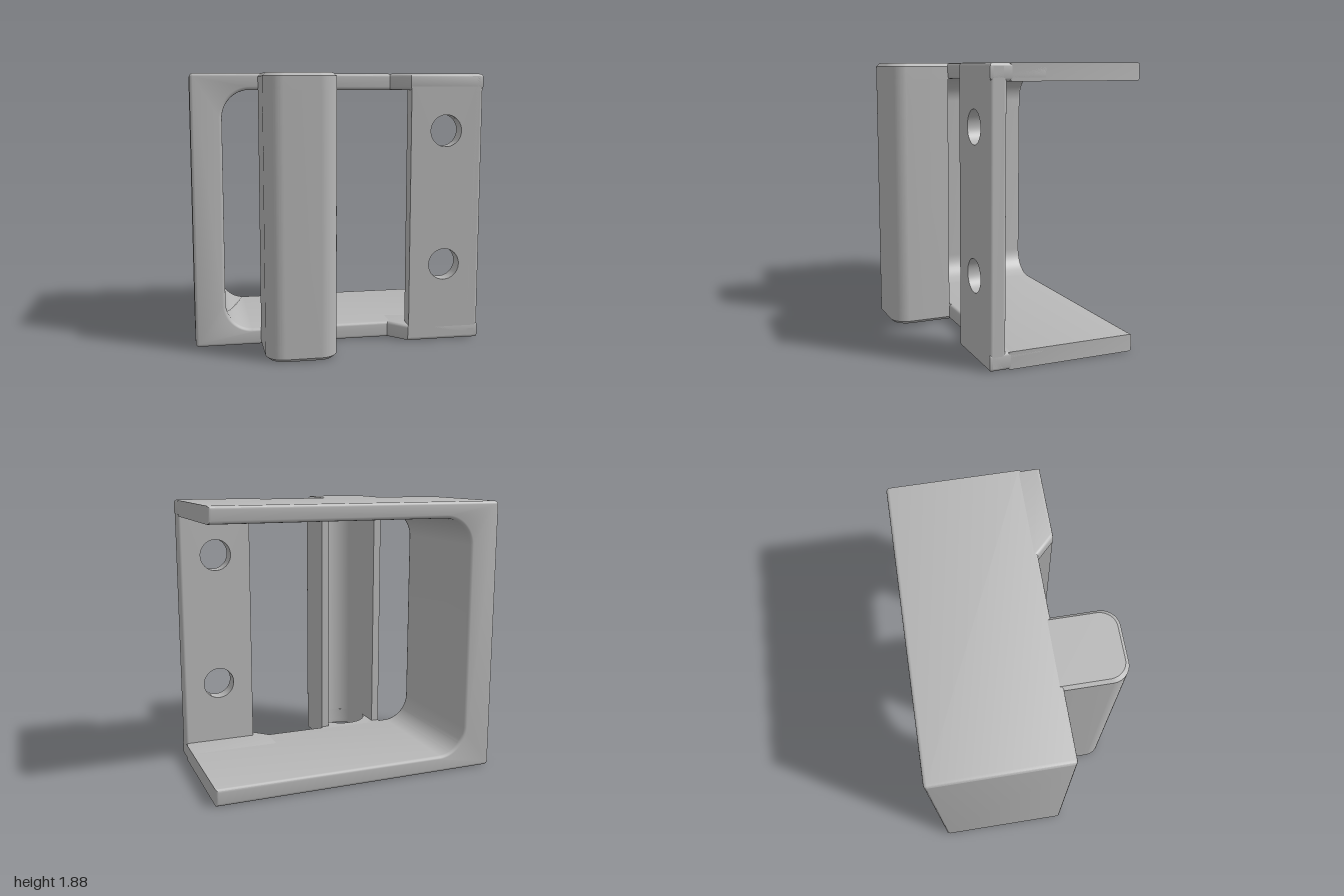
import * as THREE from 'three';
import { toCreasedNormals } from 'three/addons/utils/BufferGeometryUtils.js';
import { RoundedBoxGeometry } from 'three/addons/geometries/RoundedBoxGeometry.js';

const B = 0.022; // edge rounding
const H = 1.88; // overall height
const POST = { x: -0.307, z: 0.445, w: 0.24, front: 0.66, r: 0.185 };

export function createModel() {
  const group = new THREE.Group();
  const grey = new THREE.MeshStandardMaterial({ color: 0xb6b6b6 });
  grey.name = 'plain grey';

  const add = (name, geometry) => {
    const mesh = new THREE.Mesh(geometry, grey);
    mesh.name = name;
    group.add(mesh);
    return mesh;
  };
  const crease = (g) => toCreasedNormals(g, 0.6);
  const bevel = { bevelEnabled: true, bevelSize: B, bevelThickness: B, bevelOffset: -B, bevelSegments: 3 };

  // Extrudes a plan (x, -z) upwards from y0 to y1
  const rise = (shape, y0, y1, rounded = false) => {
    const inset = rounded ? B : 0;
    const g = new THREE.ExtrudeGeometry(shape, {
      depth: y1 - y0 - 2 * inset, curveSegments: 20, ...(rounded ? bevel : { bevelEnabled: false }),
    });
    g.translate(0, 0, y0 + inset);
    g.rotateX(-Math.PI / 2);
    return g;
  };

  // C-shaped frame: side wall, top plate and bottom plate
  const c = new THREE.Shape();
  const R = 0.19, t0 = 0.115, t1 = 1.77, wall = -0.79, e = 0.025;
  c.moveTo(-1 + e, 0);
  c.lineTo(1, 0);
  c.lineTo(1, t0);
  c.lineTo(wall + R, t0);
  c.absarc(wall + R, t0 + R, R, -Math.PI / 2, -Math.PI, true);
  c.lineTo(wall, t1 - R);
  c.absarc(wall + R, t1 - R, R, Math.PI, Math.PI / 2, true);
  c.lineTo(1, t1);
  c.lineTo(1, H);
  c.lineTo(-1 + e, H);
  c.absarc(-1 + e, H - e, e, Math.PI / 2, Math.PI, false);
  c.lineTo(-1, e);
  c.absarc(-1 + e, e, e, Math.PI, Math.PI * 1.5, false);
  const frame = new THREE.ExtrudeGeometry(c, { depth: 0.9 - 2 * B, curveSegments: 16, ...bevel });
  frame.translate(0, 0, -0.66 + B);
  add('frame', crease(frame));

  // Forward pads with an angled shoulder on both plates
  const pad = new THREE.Shape([[0.36, 0], [1, 0], [1, -0.36], [0.485, -0.36], [0.36, -0.235]]
    .map(([x, y]) => new THREE.Vector2(x, y)).reverse());
  add('bottomPad', crease(rise(pad, 0, t0, true)));
  add('topPad', crease(rise(pad, t1, H, true)));

  // Mounting strip with two screw holes
  const strip = new THREE.Shape();
  strip.moveTo(0.49, B);
  strip.lineTo(0.97, B);
  strip.lineTo(0.97, H - B);
  strip.lineTo(0.49, H - B);
  strip.closePath();
  for (const y of [0.55, 1.49]) {
    strip.holes.push(new THREE.Path().absarc(0.74, y, 0.11, 0, Math.PI * 2, true));
  }
  const stripGeo = new THREE.ExtrudeGeometry(strip, { depth: 0.11, bevelEnabled: false, curveSegments: 24 });
  stripGeo.translate(0, 0, 0.25);
  add('mountingStrip', crease(stripGeo));
  const edge = add('mountingStripEdge', new RoundedBoxGeometry(0.1, H, 0.11, 3, B));
  edge.position.set(0.95, H / 2, 0.305);

  // Post plan, optionally bored or slotted open at the back
  const plan = (back, cut) => {
    const { x, z, w, front, r } = POST, f = 0.12;
    const s = new THREE.Shape();
    s.moveTo(x - w, -back);
    s.lineTo(x - w, -front + f);
    s.absarc(x - w + f, -front + f, f, Math.PI, Math.PI * 1.5, false);
    s.lineTo(x + w - f, -front);
    s.absarc(x + w - f, -front + f, f, -Math.PI / 2, 0, false);
    s.lineTo(x + w, -back);
    if (cut === 'slot') {
      s.lineTo(x + r, -back);
      s.lineTo(x + r, -z);
      s.absarc(x, -z, r, 0, -Math.PI, true);
      s.lineTo(x - r, -back);
    }
    s.closePath();
    if (cut === 'bore') s.holes.push(new THREE.Path().absarc(x, -z, r, 0, Math.PI * 2, true));
    return s;
  };

  // Draws in the outer outline at one height to chamfer an end of the post
  const chamfer = (g, y) => {
    const p = g.attributes.position;
    for (let i = 0; i < p.count; i++) {
      const dx = p.getX(i) - POST.x, z = p.getZ(i);
      const outer = Math.hypot(dx, z - POST.z) > POST.r + 0.005;
      if (outer && Math.abs(p.getY(i) - y) < 1e-4) {
        p.setX(i, POST.x + dx * (1 - B / POST.w));
        p.setZ(i, 0.2 + (z - 0.2) * (1 - B / (POST.front - 0.2)));
      }
    }
    return g;
  };

  add('postFoot', crease(chamfer(rise(plan(0.2, 'bore'), 0, B), 0)));
  add('postBase', crease(rise(plan(0.2, 'bore'), B, t0)));
  add('postShaft', crease(rise(plan(0.24, 'slot'), t0, t1)));
  add('postHead', crease(rise(plan(0.2, 'bore'), t1, H - 0.03)));
  add('postCap', crease(rise(plan(0.2), H - 0.03, H - B)));
  add('postCapEdge', crease(chamfer(rise(plan(0.2), H - B, H), H)));

  return group;
}
